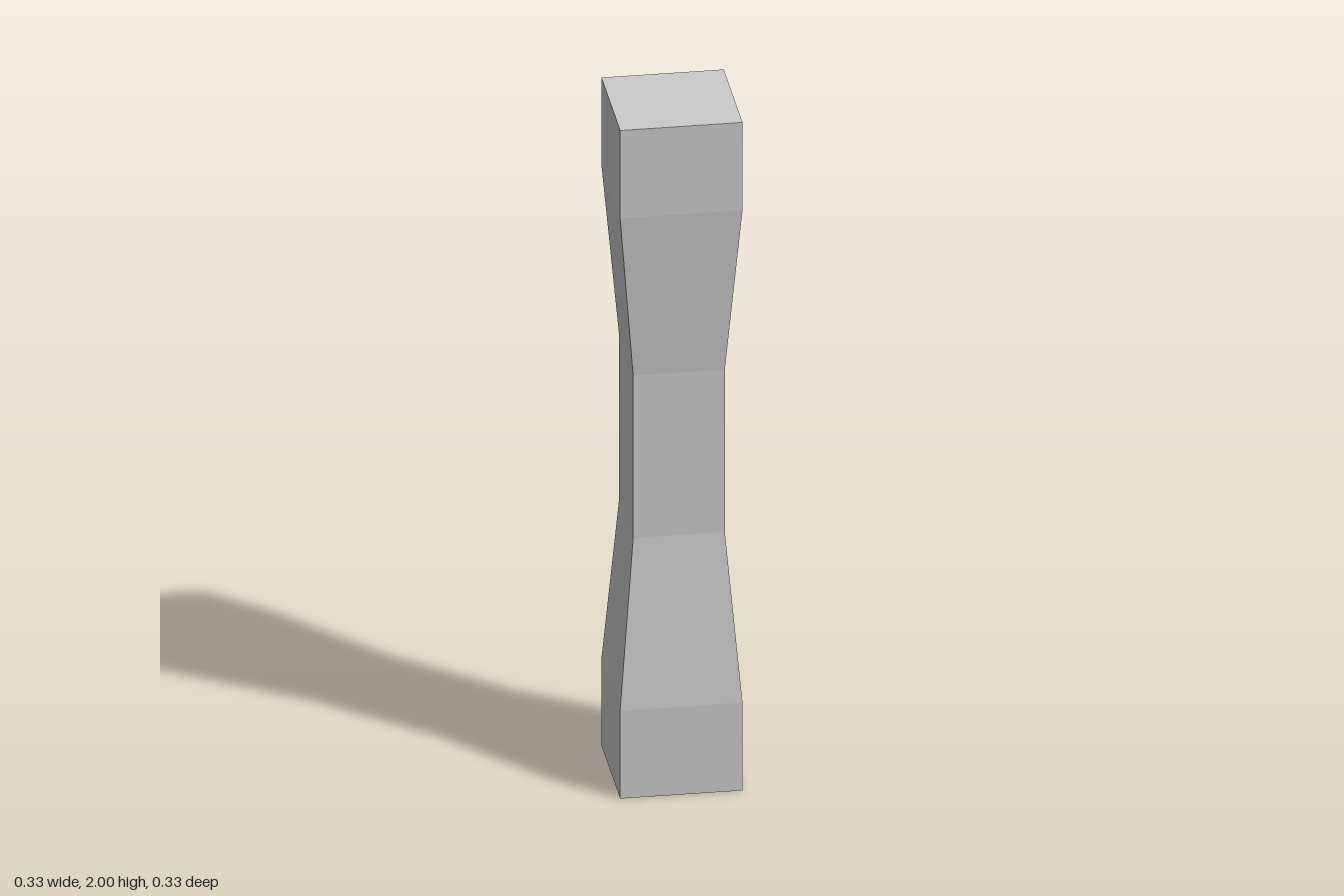
import * as THREE from 'three';

// Column outline from bottom to top: [height, half width]
const PROFILE = [
  [0, 0.167], [0.263, 0.167], [0.757, 0.125],
  [1.243, 0.125], [1.737, 0.167], [2, 0.167],
];

export function createModel() {
  const group = new THREE.Group();
  group.name = 'pillar';

  // Square column: each ring of a segmented box is set to its profile height and width
  const rings = PROFILE.length - 1;
  const geometry = new THREE.BoxGeometry(2, rings, 2, 1, rings, 1);
  const pos = geometry.attributes.position;
  for (let i = 0; i < pos.count; i++) {
    const [y, half] = PROFILE[Math.round(pos.getY(i) + rings / 2)];
    pos.setXYZ(i, pos.getX(i) * half, y, pos.getZ(i) * half);
  }
  geometry.computeVertexNormals();

  const material = new THREE.MeshStandardMaterial({ color: 0xcccccc, flatShading: true });
  const column = new THREE.Mesh(geometry, material);
  column.name = 'column';
  group.add(column);
  return group;
}
